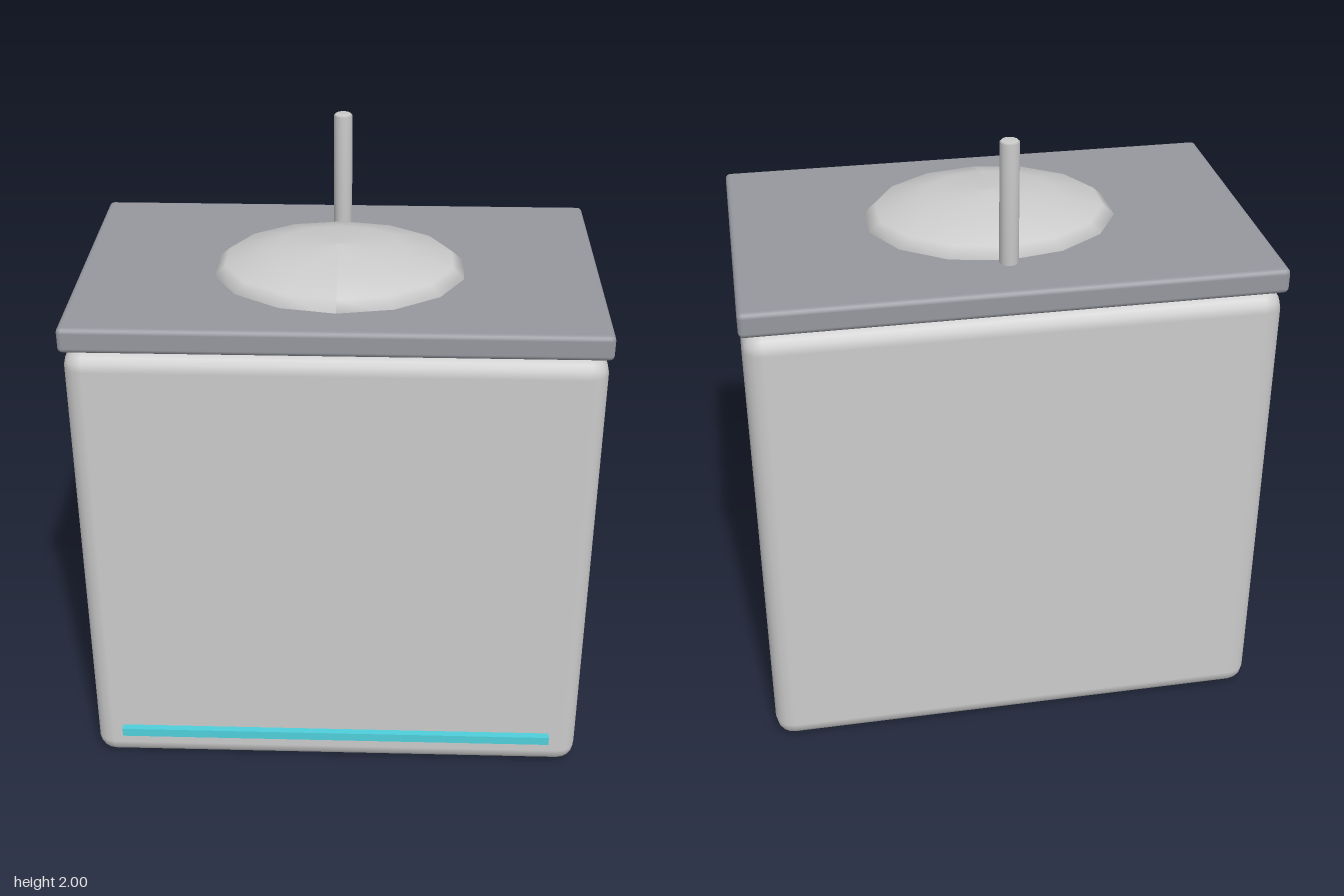
import * as THREE from 'three';
import { RoundedBoxGeometry } from 'three/addons/geometries/RoundedBoxGeometry.js';

export function createModel() {
  const model = new THREE.Group();
  const grey = new THREE.MeshStandardMaterial({ color: 0xcccccc });
  const slate = new THREE.MeshStandardMaterial({ color: 0x96989f });
  const cyan = new THREE.MeshStandardMaterial({ color: 0x4fd0dc });

  function add(name, geometry, material, x, y, z) {
    const mesh = new THREE.Mesh(geometry, material);
    mesh.name = name;
    mesh.position.set(x, y, z);
    model.add(mesh);
    return mesh;
  }

  // Cabinet body with softly rounded edges
  add('cabinet', new RoundedBoxGeometry(1.62, 1.53, 1.02, 2, 0.06), grey, 0, 0.765, -0.01);

  // Countertop slab
  add('countertop', new RoundedBoxGeometry(1.63, 0.08, 1.02, 2, 0.016), slate, 0, 1.573, -0.01);

  // Shallow 14-sided basin, sunk halfway into the countertop
  const basin = new THREE.SphereGeometry(1, 14, 6).rotateY(Math.PI / 2).scale(0.42, 0.1, 0.355);
  basin.computeVertexNormals();
  add('basin', basin, grey, 0, 1.595, 0.028);

  // Upright tap with a slightly eased top rim
  const tapProfile = [[0, 0], [0.03, 0], [0.03, 0.395], [0.025, 0.4], [0, 0.4]]
    .map(([r, y]) => new THREE.Vector2(r, y));
  add('tap', new THREE.LatheGeometry(tapProfile, 16), grey, 0, 1.6, -0.32);

  // Light strip along the lower front
  add('lightStrip', new THREE.BoxGeometry(1.43, 0.03, 0.04), cyan, 0, 0.12, 0.503);

  return model;
}
